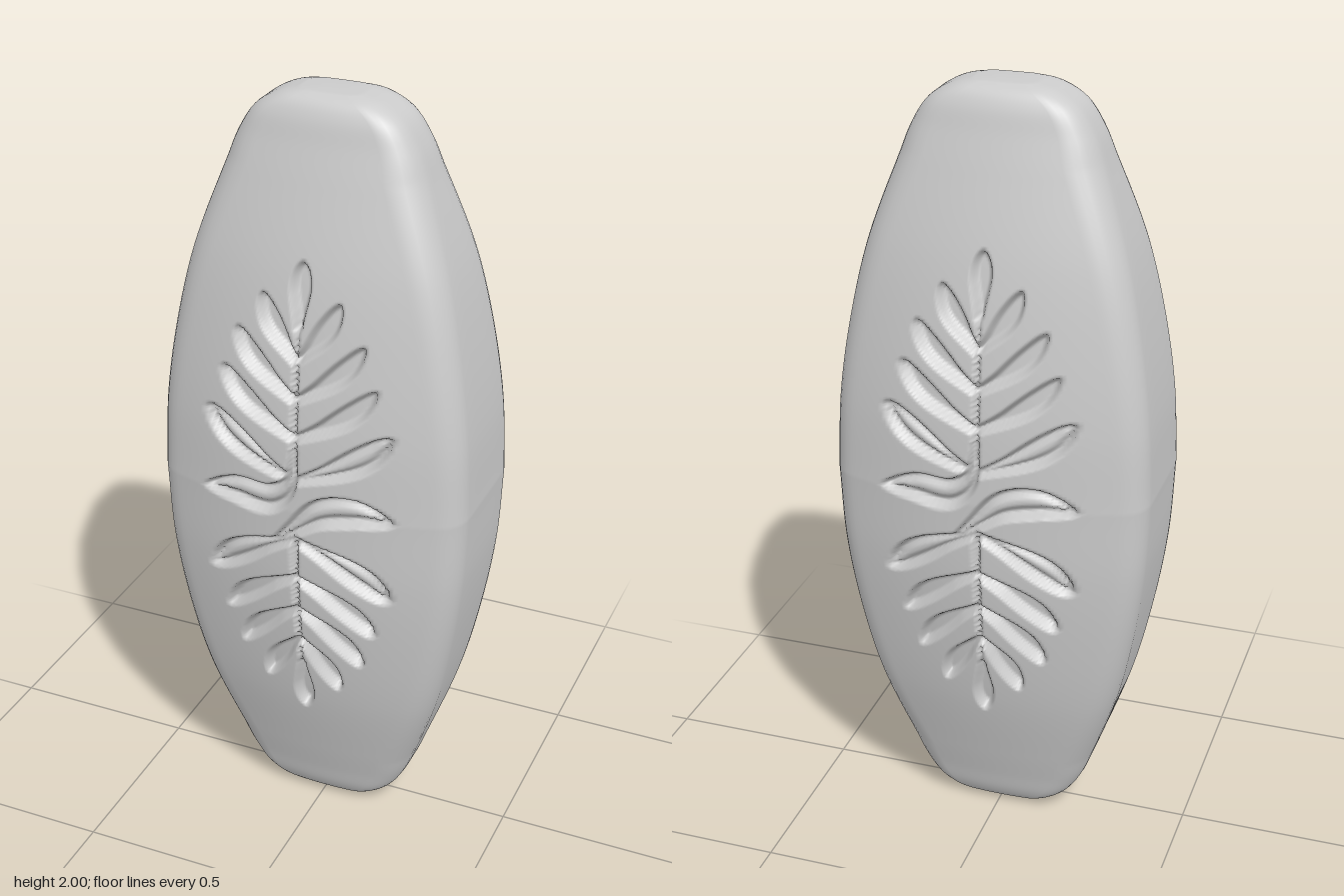
import * as THREE from 'three';

const V2 = (x, y) => new THREE.Vector2(x, y);
const DEPTH = 0.03;

// One carved leaf: points along a spline, each with the leaf's half-width there
function carvedLeaf(pts, width, ridge = 0) {
  const curve = new THREE.SplineCurve(pts.map(p => V2(p[0], p[1])));
  const samples = [];
  for (let i = 0; i <= 30; i++) {
    const t = i / 30, p = curve.getPoint(t);
    const swell = Math.sin(Math.PI * Math.pow(t, 1.5));
    samples.push({ x: p.x, y: p.y, r: 0.008 * (1 - t) + 0.003 + width * swell });
  }
  const xs = samples.map(s => s.x), ys = samples.map(s => s.y), m = width + 0.015;
  return { samples, ridge, x0: Math.min(...xs) - m, x1: Math.max(...xs) + m, y0: Math.min(...ys) - m, y1: Math.max(...ys) + m };
}

// Two sprigs, upper and lower, each with four leaf pairs, a stem and a tip leaf
function makeSprigs() {
  const leaves = [];
  const pairs = [ // base y, tip x, tip y, half-width, ridge
    [1.40, 0.10, 1.545, 0.021, 0],
    [1.30, 0.165, 1.45, 0.021, 0],
    [1.20, 0.20, 1.345, 0.022, 0],
    [1.085, 0.24, 1.23, 0.03, 0.45],
  ];
  for (const up of [1, -1]) {
    const at = (x, y) => [x * up, 1 + (y - 1) * up];
    for (const side of [1, -1])
      for (const [by, tx, ty, w, ridge] of pairs)
        leaves.push(carvedLeaf([
          at(side * 0.005, by), at(side * tx * 0.4, by + (ty - by) * 0.28),
          at(side * tx * 0.75, by + (ty - by) * 0.62), at(side * tx, ty)], w, ridge));
    leaves.push(carvedLeaf([at(0, 1.48), at(0, 1.56), at(0, 1.63)], 0.02));
    leaves.push(carvedLeaf([at(0, 1.1), at(0, 1.3), at(0, 1.52)], 0.002));
  }
  // Curling centre leaves with rounded ends
  leaves.push(carvedLeaf([[0, 1.16], [-0.015, 1.07], [-0.07, 1.02], [-0.16, 1.02], [-0.25, 1.005]], 0.036, 0.5));
  leaves.push(carvedLeaf([[-0.07, 0.88], [0, 0.95], [0.07, 1.005], [0.16, 1.02], [0.25, 1.0]], 0.036, 0.5));
  return leaves;
}

// Depth of the carving at a point of the face
function carving(leaves, x, y) {
  let depth = 0;
  for (const l of leaves) {
    if (x < l.x0 || x > l.x1 || y < l.y0 || y > l.y1) continue;
    let inside = -1, ratio = 1;
    for (const s of l.samples) {
      const d = Math.hypot(x - s.x, y - s.y);
      if (s.r - d > inside) { inside = s.r - d; ratio = d / s.r; }
    }
    const cut = THREE.MathUtils.smoothstep(inside, -0.004, 0.013);
    const bump = l.ridge * (1 - THREE.MathUtils.smoothstep(ratio, 0.15, 0.6));
    depth = Math.max(depth, DEPTH * cut * (1 - bump));
  }
  return depth;
}

// Half of a cross-section: the crowned face, then a rounded corner, the flat side and a corner
function halfSection(w, d, y, leaves) {
  const pts = [], r = Math.min(0.085, 0.6 * Math.min(w, d));
  const alpha = Math.atan(w - r);
  const xe = w - r + r * Math.sin(alpha);
  const face = x => d - 0.5 * x * x;
  const N = 88, C = 6, S = 4;
  for (let i = 0; i <= N; i++) {
    const u = (2 * i) / N - 1;
    const x = xe * (0.7 * u + 0.3 * u ** 5);
    pts.push([x, face(x) - carving(leaves, x, y)]);
  }
  const cx = w - r, cz = Math.max(0.004, face(xe) - r * Math.cos(alpha));
  const arc = k => alpha + (Math.PI / 2 - alpha) * (k / C);
  for (let k = 1; k <= C; k++) pts.push([cx + r * Math.sin(arc(k)), cz + r * Math.cos(arc(k))]);
  for (let k = 1; k < S; k++) pts.push([w, cz * (1 - (2 * k) / S)]);
  for (let k = C; k >= 1; k--) pts.push([cx + r * Math.sin(arc(k)), -cz - r * Math.cos(arc(k))]);
  return pts;
}

// Lofts the body from rings; the back half of each ring is the front turned half way round
function bodyGeometry() {
  const leaves = makeSprigs();
  const profile = new THREE.CatmullRomCurve3([ // height from the middle, half-width, half-depth
    [0, 0.41, 0.267], [0.2, 0.40, 0.26], [0.4, 0.372, 0.238], [0.6, 0.328, 0.203],
    [0.8, 0.26, 0.149], [0.89, 0.225, 0.122], [0.95, 0.185, 0.104], [0.985, 0.13, 0.082],
    [1, 0.075, 0.05],
  ].map(p => new THREE.Vector3(...p)));
  profile.arcLengthDivisions = 800;
  const HALF = 145, positions = [], index = [];
  let n = 0;
  for (let i = -HALF; i <= HALF; i++) {
    const v = Math.abs(i) / HALF;
    const p = profile.getPointAt(Math.min(1, 0.78 * v + 0.22 * v ** 4));
    const y = 1 + Math.sign(i) * p.x;
    const half = halfSection(p.y, p.z, y, leaves);
    n = half.length * 2;
    for (const s of [1, -1]) for (const [x, z] of half) positions.push(s * x, y, s * z);
  }
  const rows = 2 * HALF + 1;
  for (let i = 0; i < rows - 1; i++)
    for (let j = 0; j < n; j++) {
      const a = i * n + j, b = i * n + ((j + 1) % n);
      index.push(a, b, b + n, a, b + n, a + n);
    }
  // End caps
  const bottom = rows * n, top = bottom + 1, last = (rows - 1) * n;
  positions.push(0, 0, 0, 0, 2, 0);
  for (let j = 0; j < n; j++) {
    const k = (j + 1) % n;
    index.push(bottom, k, j, top, last + j, last + k);
  }
  const g = new THREE.BufferGeometry();
  g.setAttribute('position', new THREE.Float32BufferAttribute(positions, 3));
  g.setIndex(index);
  g.computeVertexNormals();
  return g;
}

export function createModel() {
  const group = new THREE.Group();
  group.name = 'carvedBar';
  const body = new THREE.Mesh(bodyGeometry(), new THREE.MeshStandardMaterial({ color: 0xcccccc }));
  body.name = 'bodyWithCarvedSprigs';
  group.add(body);
  return group;
}
